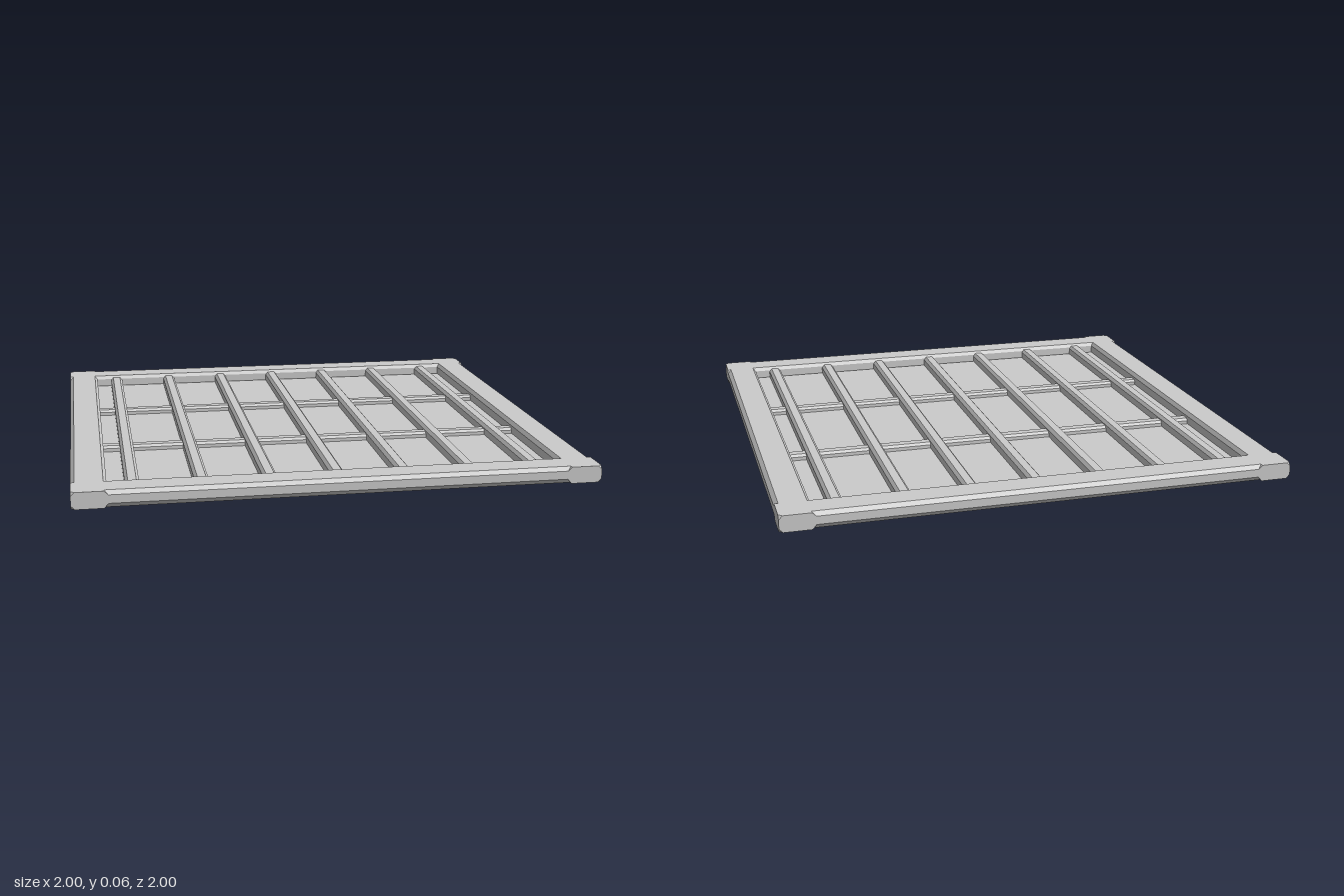
import * as THREE from 'three';
import { ConvexGeometry } from 'three/addons/geometries/ConvexGeometry.js';

const H = 0.065, IN = 0.88, B = 0.015, LOW = 0.018, HIGH = 0.05;

export function createModel() {
  const model = new THREE.Group();
  const material = new THREE.MeshStandardMaterial({ color: 0xcccccc, flatShading: true });

  const add = (name, geometry) => {
    const mesh = new THREE.Mesh(geometry, material);
    mesh.name = name;
    model.add(mesh);
    return mesh;
  };
  const hull = (points) => new ConvexGeometry(points.map((p) => new THREE.Vector3(...p)));

  // Frame rails: section in (z, y), chamfered on the outer and inner edges
  const section = [
    [1 - B, 0], [1, LOW], [1, HIGH], [1 - B, H],
    [IN, H], [IN - 0.012, HIGH], [IN - 0.012, LOW], [IN, 0],
  ];
  const railGeometry = hull(section.flatMap(([z, y]) => [[-IN, y, z], [IN, y, z]]));
  ['frontRail', 'leftRail', 'backRail', 'rightRail'].forEach((name, i) => {
    add(name, railGeometry).rotation.y = i * Math.PI / 2;
  });

  // Corner blocks: clipped outer vertices, with tips that blend into the rail chamfers
  const cornerPoints = [];
  for (const [y, cut, tip] of [[0, B, LOW], [H, H - B, HIGH]]) {
    cornerPoints.push(
      [IN, y, IN], [IN, y, 1], [1, y, IN],
      [1 - B, y, 1], [1, y, 1 - B], [1, cut, 1],
      [IN - B, tip, 1], [1, tip, IN - B],
    );
  }
  const cornerGeometry = hull(cornerPoints);
  for (let i = 0; i < 4; i++) add('cornerBlock', cornerGeometry).rotation.y = i * Math.PI / 2;

  // Thin floor sheet, recessed from both sides of the frame
  const floor = add('floorSheet', new THREE.BoxGeometry(2 * IN, 0.008, 2 * IN));
  floor.position.y = 0.012;

  // Bars with bevelled upper edges, running along z
  const bar = (width, topWidth, bottom, shoulder, top) => {
    const pts = [];
    for (const z of [-IN, IN]) {
      for (const s of [-1, 1]) {
        pts.push([s * width / 2, bottom, z], [s * width / 2, shoulder, z], [s * topWidth / 2, top, z]);
      }
    }
    return hull(pts);
  };

  // Seven long joists
  const joistGeometry = bar(0.054, 0.032, 0.01, 0.044, 0.056);
  for (let i = -3; i <= 3; i++) add('joist', joistGeometry).position.x = i * 0.258;

  // Two lower cross braces, showing slightly through the underside
  const braceGeometry = bar(0.052, 0.034, 0.004, 0.03, 0.04);
  for (const z of [-0.303, 0.298]) {
    const brace = add('crossBrace', braceGeometry);
    brace.rotation.y = Math.PI / 2;
    brace.position.z = z;
  }
  return model;
}
